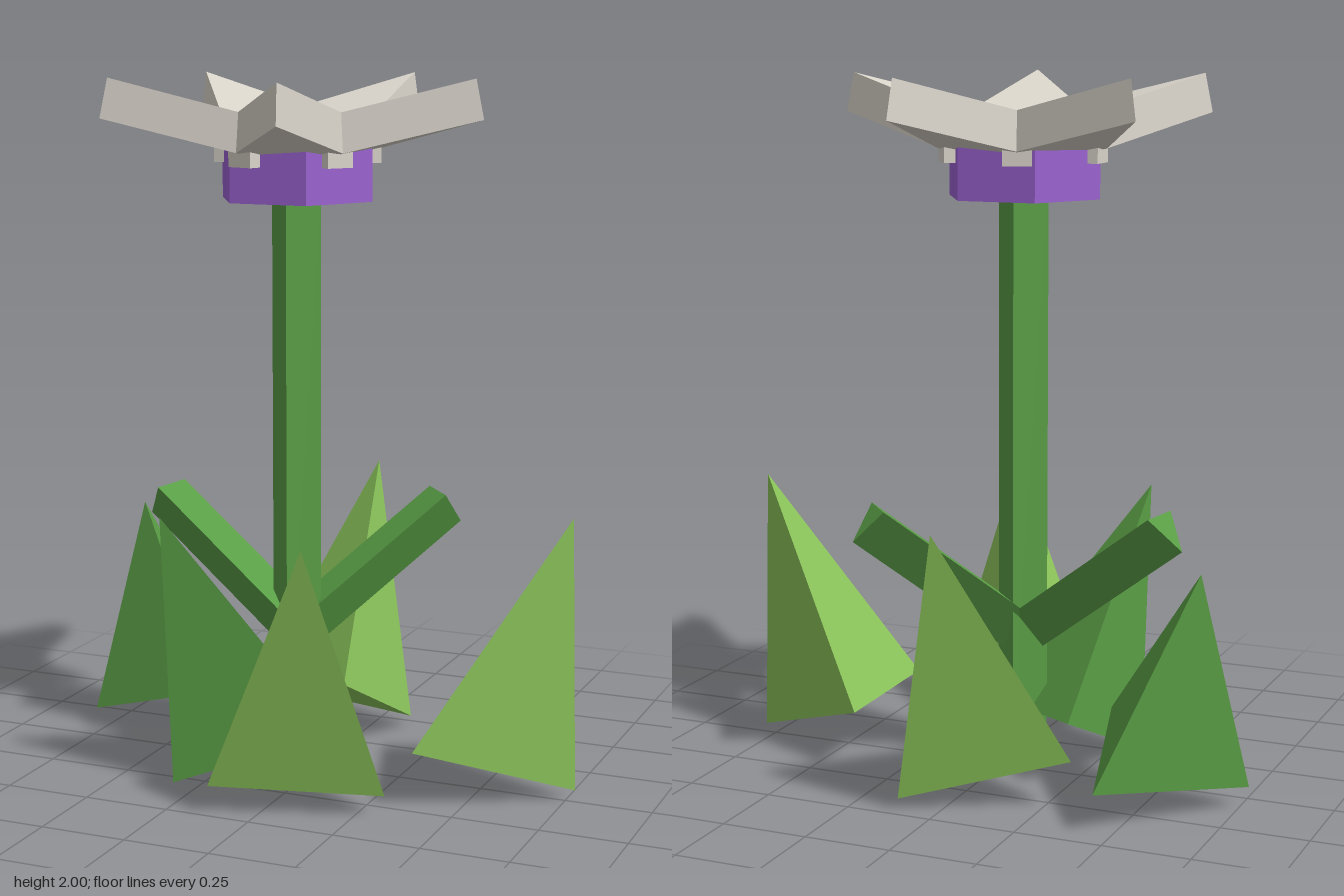
import * as THREE from 'three';
import { ConvexGeometry } from 'three/addons/geometries/ConvexGeometry.js';

const material = (name, color) => {
  const m = new THREE.MeshStandardMaterial({ color, flatShading: true });
  m.name = name;
  return m;
};

const V = (x, y, z) => new THREE.Vector3(x, y, z);

export function createModel() {
  const model = new THREE.Group();
  model.name = 'flower';
  const darkGreen = material('stem green', 0x5a9e46);
  const lightGreen = material('leaf green', 0x8bc45a);
  const purple = material('cup purple', 0x9b62d0);
  const cream = material('petal cream', 0xdad5cb);

  const add = (name, geometry, mat, parent = model) => {
    const mesh = new THREE.Mesh(geometry, mat);
    mesh.name = name;
    parent.add(mesh);
    return mesh;
  };
  const hull = (name, points, mat, parent) => add(name, new ConvexGeometry(points), mat, parent);

  // Axis of the stem and bloom
  const cx = -0.06, cz = 0.02;

  // Square stem, corners towards the front and sides
  add('stem', new THREE.CylinderGeometry(0.075, 0.075, 1.58, 4), darkGreen).position.set(cx, 0.91, cz);

  // Six-sided cup with corners on the x axis
  const cup = add('cup', new THREE.CylinderGeometry(0.228, 0.228, 0.145, 6), purple);
  cup.rotation.y = Math.PI / 6;
  cup.position.set(cx, 1.7325, cz);

  // Five kite-shaped petals, each tilted up towards its tip
  const bloom = new THREE.Group();
  bloom.name = 'bloom';
  bloom.position.set(cx, 0, cz);
  model.add(bloom);
  const polar = (r, a, y) => V(r * Math.cos(a), y, r * Math.sin(a));
  const half = Math.PI / 5;
  for (let i = 0; i < 5; i++) {
    const a = i * 2 * half;
    hull('petal', [
      V(0, 1.857, 0), polar(0.527, a, 2.0), polar(0.237, a - half, 1.91), polar(0.237, a + half, 1.91),
      V(0, 1.75, 0), polar(0.55, a, 1.89), polar(0.247, a - half, 1.8), polar(0.247, a + half, 1.8),
    ], cream, bloom);
    // Small tab under each notch of the star
    const tab = add('petalTab', new THREE.BoxGeometry(0.04, 0.05, 0.08), cream, bloom);
    tab.position.copy(polar(0.215, a + half, 1.785));
    tab.rotation.y = -(a + half);
  }

  // Three-sided side shoots rising from the stem, ridge underneath
  const start = V(cx, 0.42, cz);
  for (const end of [V(-0.517, 0.767, -0.045), V(0.288, 0.767, -0.27)]) {
    const dir = end.clone().sub(start).normalize();
    const side = V(0, 1, 0).cross(dir).normalize();
    const up = dir.clone().cross(side);
    const corner = (p, s, u) => p.clone().addScaledVector(side, s).addScaledVector(up, u);
    hull('sideShoot', [start, end].flatMap((p) => [
      corner(p, 0.069, 0.04), corner(p, -0.069, 0.04), corner(p, 0, -0.08),
    ]), darkGreen);
  }

  // Pyramid leaves leaning outwards: tip, then three base corners
  const leaves = [
    ['rightLeaf', lightGreen, [0.755, 0.81, -0.01], [0.775, 0.03, -0.01], [0.36, 0.18, -0.235], [0.385, 0.17, 0.255]],
    ['frontLeaf', lightGreen, [0.18, 0.79, 0.55], [-0.13, 0.08, 0.485], [0.33, 0.06, 0.32], [-0.03, 0.24, 0.04]],
    ['backLeaf', lightGreen, [-0.03, 0.81, -0.55], [0.115, 0.03, -0.46], [-0.33, 0.14, -0.285], [0.07, 0.25, -0.02]],
    ['backCornerLeaf', darkGreen, [-0.675, 0.69, -0.22], [-0.775, 0.06, -0.07], [-0.45, 0.11, -0.435], [-0.325, 0.2, 0.05]],
    ['frontCornerLeaf', darkGreen, [-0.33, 0.795, 0.36], [-0.33, 0, 0.295], [0.12, 0.16, 0.15], [-0.267, 0.2, -0.149]],
  ];
  for (const [name, mat, ...points] of leaves) hull(name, points.map((p) => V(...p)), mat);

  return model;
}
